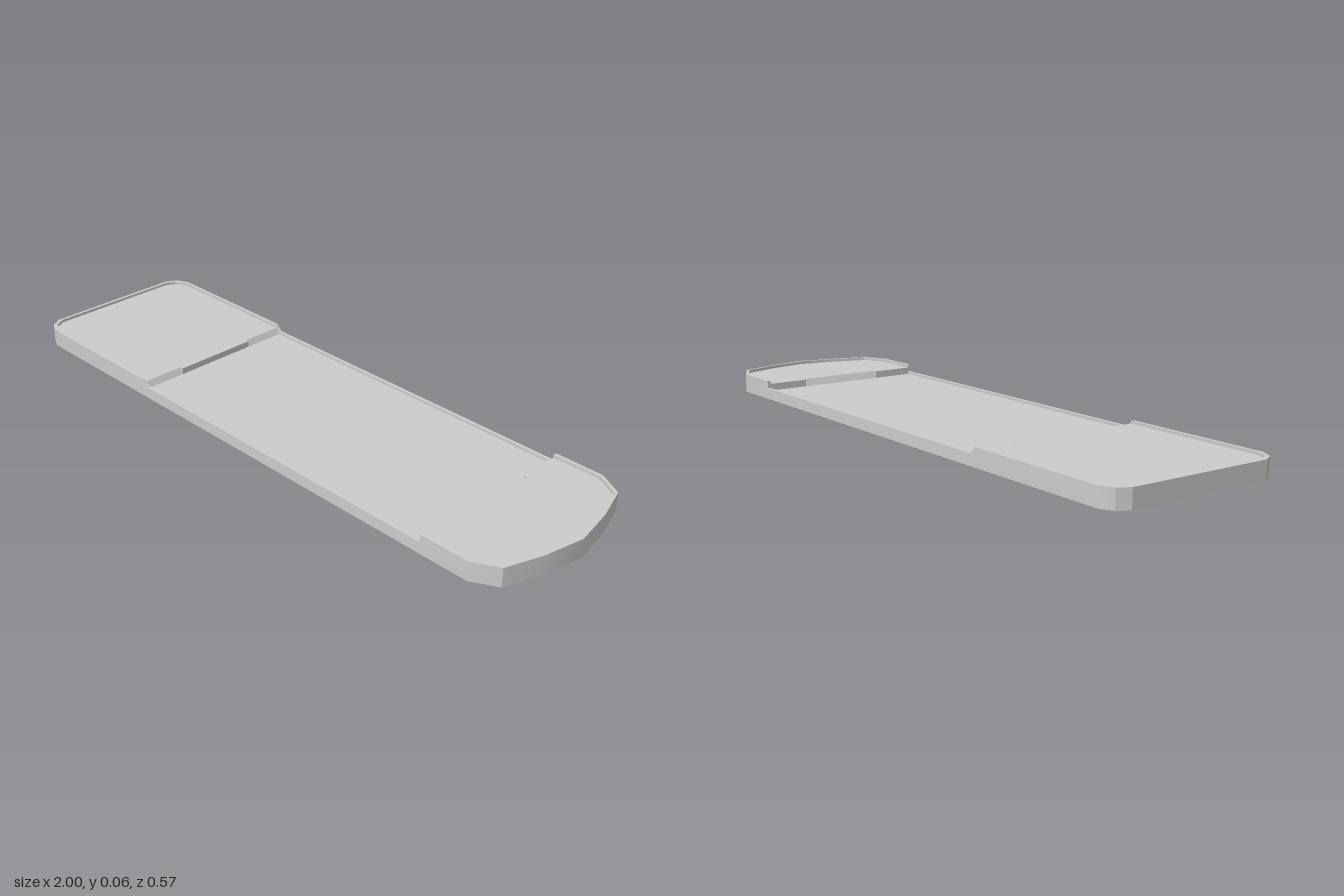
import * as THREE from 'three';
import { toCreasedNormals } from 'three/addons/utils/BufferGeometryUtils.js';

const material = new THREE.MeshStandardMaterial({ color: 0xcccccc, side: THREE.DoubleSide });

// Rim heights, floor heights and positions of the two steps
const RIM = { deck: 0.056, middle: 0.036, nose: 0.06 };
const FLOOR = { deck: 0.047, middle: 0.027, nose: 0.05 };
const DECK_X = -0.445, NOSE_X = 0.7, RAMP = 0.012, HALF = 0.275, TONGUE = 0.14;

// Half outline as [x, z, rim height], from the square end to the rounded nose
const half = [
  [-1, 0.23, RIM.deck], [-0.98, 0.265, RIM.deck], [-0.94, 0.285, RIM.deck],
  [-0.46, 0.285, RIM.deck], [-0.45, 0.285, 0.045], [-0.44, 0.285, RIM.middle],
  [NOSE_X, 0.285, RIM.middle], [NOSE_X, 0.285, RIM.nose], [0.86, 0.285, RIM.nose],
  [0.937, 0.243, RIM.nose], [0.975, 0.13, RIM.nose], [1, 0, RIM.nose],
];
const mirrored = half.slice(0, -1).reverse().map(([x, z, h]) => [x, -z, h]);
const outline = [...half, ...mirrored];
const inset = ([x, z]) => [x * (1 - 0.01 * x ** 8), z * 0.965];

function addMesh(group, name, geometry) {
  const mesh = new THREE.Mesh(geometry, material);
  mesh.name = name;
  group.add(mesh);
}

// Thin wall: a rectangular section swept round the outline
function wallGeometry() {
  const positions = [], indices = [], n = outline.length;
  for (const p of outline) {
    const [x, z, h] = p, [ix, iz] = inset(p);
    positions.push(x, 0, z, x, h, z, ix, h, iz, ix, 0, iz);
  }
  for (let i = 0; i < n; i++) {
    for (let k = 0; k < 4; k++) {
      const j = (i + 1) % n, m = (k + 1) % 4;
      const a = i * 4 + k, b = j * 4 + k, c = j * 4 + m, d = i * 4 + m;
      indices.push(a, b, c, a, c, d);
    }
  }
  const geometry = new THREE.BufferGeometry();
  geometry.setAttribute('position', new THREE.Float32BufferAttribute(positions, 3));
  geometry.setIndex(indices);
  return toCreasedNormals(geometry, 0.5);
}

// Flat floor panel between two x positions, following the inside of the wall
function panelGeometry(x0, x1, y) {
  const side = half.map(inset).filter(([x]) => x > x0 && x < x1);
  if (x0 > -0.9) side.unshift([x0, HALF]);
  if (x1 < 0.9) side.push([x1, HALF]);
  const points = [...side, ...[...side].reverse().map(([x, z]) => [x, -z])];
  const shape = new THREE.Shape(points.map(([x, z]) => new THREE.Vector2(x, z)));
  return new THREE.ShapeGeometry(shape).rotateX(-Math.PI / 2).translate(0, y, 0);
}

// Length of step between two z positions, either square or ramped
function stepGeometry(upX, edgeX, high, low, z0, z1, ramped) {
  const shape = new THREE.Shape();
  shape.moveTo(upX, low).lineTo(edgeX, low);
  if (!ramped) shape.lineTo(edgeX, high);
  shape.lineTo(upX, high).closePath();
  return new THREE.ExtrudeGeometry(shape, { depth: z1 - z0, bevelEnabled: false }).translate(0, 0, z0);
}

function addStep(group, name, upX, edgeX, high, rampInMiddle) {
  const bands = [[-HALF, -TONGUE], [-TONGUE, TONGUE], [TONGUE, HALF]];
  bands.forEach(([z0, z1], i) => {
    const ramped = (i === 1) === rampInMiddle;
    addMesh(group, name, stepGeometry(upX, edgeX, high, FLOOR.middle, z0, z1, ramped));
  });
}

export function createModel() {
  const group = new THREE.Group();
  group.name = 'shallowTray';
  addMesh(group, 'outerWall', wallGeometry());

  // Floor panels at three levels, open underneath
  addMesh(group, 'raisedDeck', panelGeometry(-1.1, DECK_X - RAMP, FLOOR.deck));
  addMesh(group, 'middleFloor', panelGeometry(DECK_X, NOSE_X, FLOOR.middle));
  addMesh(group, 'noseFloor', panelGeometry(NOSE_X + RAMP, 1.1, FLOOR.nose));

  // Steps: ramped at the sides by the deck, ramped in the middle by the nose
  addStep(group, 'deckStep', DECK_X - RAMP, DECK_X, FLOOR.deck, false);
  addStep(group, 'noseStep', NOSE_X + RAMP, NOSE_X, FLOOR.nose, true);
  return group;
}
